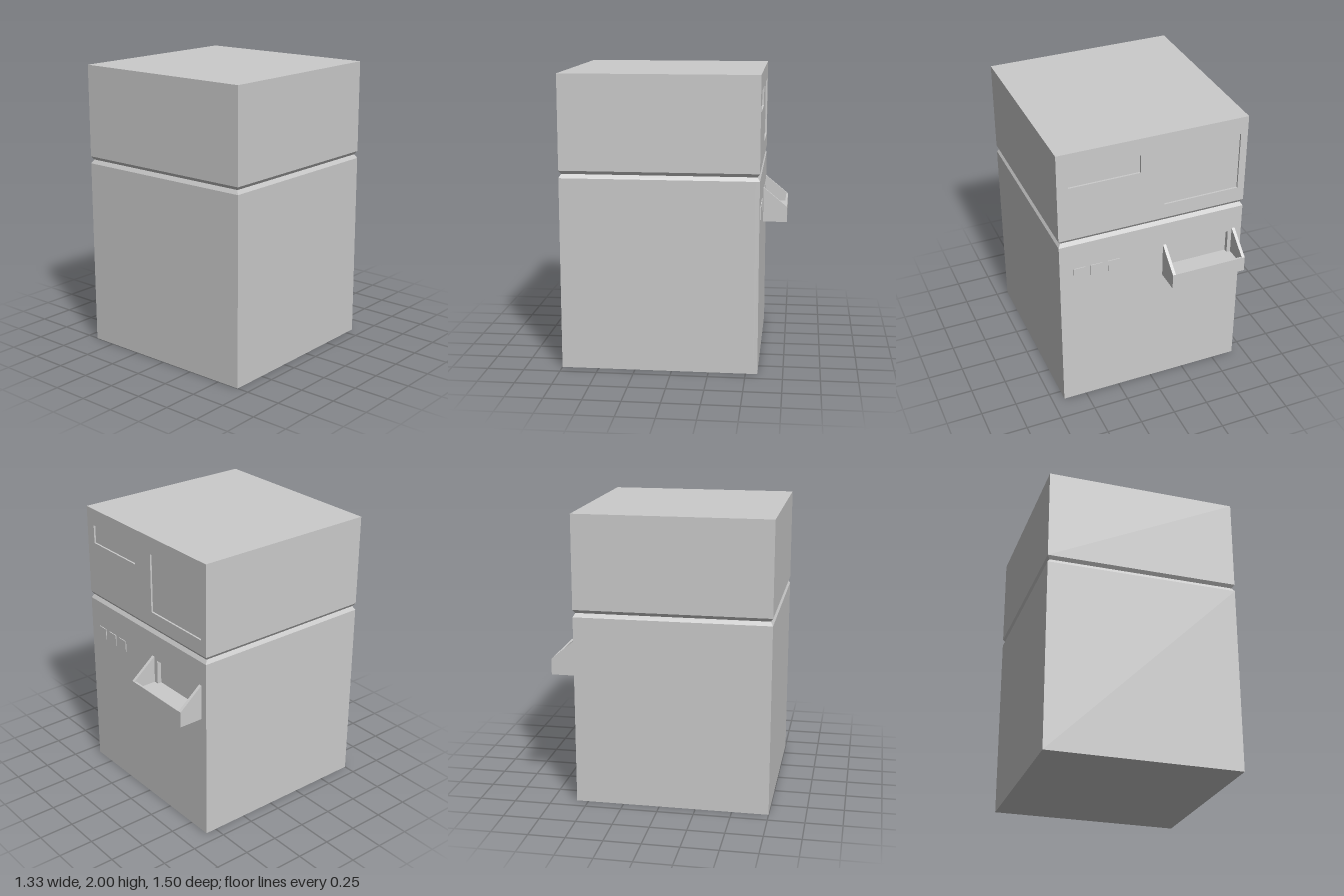
import * as THREE from 'three';

const material = new THREE.MeshStandardMaterial({ color: 0xcccccc, flatShading: true });
const X = 0.665, BACK = -0.58, FRONT = 0.75;

// Box given by its two extreme corners
function block(name, x0, x1, y0, y1, z0, z1) {
  const geo = new THREE.BoxGeometry(x1 - x0, y1 - y0, z1 - z0);
  geo.translate((x0 + x1) / 2, (y0 + y1) / 2, (z0 + z1) / 2);
  const mesh = new THREE.Mesh(geo, material);
  mesh.name = name;
  return mesh;
}

// Slab whose top (side = 1) or bottom (side = -1) rim is drawn in
function chamfer(name, y0, y1, side, inset) {
  const mesh = block(name, -X, X, y0, y1, BACK, FRONT);
  const p = mesh.geometry.attributes.position;
  const mid = (y0 + y1) / 2, midZ = (BACK + FRONT) / 2;
  for (let i = 0; i < p.count; i++) {
    if ((p.getY(i) - mid) * side < 0) continue;
    p.setX(i, p.getX(i) - Math.sign(p.getX(i)) * inset);
    p.setZ(i, p.getZ(i) - Math.sign(p.getZ(i) - midZ) * inset);
  }
  mesh.geometry.computeVertexNormals();
  return mesh;
}

function rect(Type, x0, x1, y0, y1) {
  return new Type([[x0, y0], [x1, y0], [x1, y1], [x0, y1]].map(([x, y]) => new THREE.Vector2(x, y)));
}

// Back wall with rectangular recesses
function backWall(name, y0, y1, depth, holes) {
  const shape = rect(THREE.Shape, -X, X, y0, y1);
  for (const h of holes) shape.holes.push(rect(THREE.Path, ...h));
  const geo = new THREE.ExtrudeGeometry(shape, { depth, bevelEnabled: false });
  geo.translate(0, 0, BACK);
  const mesh = new THREE.Mesh(geo, material);
  mesh.name = name;
  return mesh;
}

// Cheek of the tray, a side profile extruded along x
function cheek(name, x, thickness) {
  const shape = new THREE.Shape();
  shape.moveTo(-BACK, 0.89);
  shape.lineTo(0.75, 0.89);
  shape.lineTo(0.75, 1.0);
  shape.lineTo(-BACK, 1.14);
  const geo = new THREE.ExtrudeGeometry(shape, { depth: thickness, bevelEnabled: false });
  geo.rotateY(Math.PI / 2); // profile x becomes -z, depth becomes +x
  geo.translate(x, 0, 0);
  const mesh = new THREE.Mesh(geo, material);
  mesh.name = name;
  return mesh;
}

export function createModel() {
  const model = new THREE.Group();
  model.name = 'cabinet';

  // Lower and upper cabinet, with recessed panels in the back
  const lowDepth = 0.03, topDepth = 0.013;
  model.add(
    block('lowerBody', -X, X, 0, 1.31, BACK + lowDepth, FRONT),
    backWall('lowerBackWall', 0, 1.31, lowDepth, [[-0.565, -0.13, 0.945, 1.12]]),
    block('upperBody', -X, X, 1.36, 2, BACK + topDepth, FRONT),
    backWall('upperBackWall', 1.36, 2, topDepth, [
      [0.095, 0.588, 1.75, 1.88],
      [-0.615, -0.078, 1.465, 1.88],
    ]),
  );

  // V groove between the two bodies
  model.add(
    chamfer('grooveLower', 1.31, 1.337, 1, 0.016),
    chamfer('grooveUpper', 1.337, 1.36, -1, 0.016),
  );

  // Row of three push buttons
  for (let i = 0; i < 3; i++) {
    const x = 0.24 + i * 0.123;
    model.add(block('button', x, x + 0.085, 1.038, 1.12, BACK - 0.006, BACK));
  }

  // Open tray with sloping cheeks
  const tray = new THREE.Group();
  tray.name = 'tray';
  const x0 = -0.615, x1 = -0.075, wall = 0.022;
  tray.add(
    cheek('trayCheek', x0, wall),
    cheek('trayCheek', x1 - wall, wall),
    block('trayFloor', x0 + wall, x1 - wall, 0.89, 0.945, -0.735, BACK),
    block('trayLip', x0 + wall, x1 - wall, 0.89, 1.0, -0.75, -0.735),
  );
  model.add(tray);
  return model;
}
